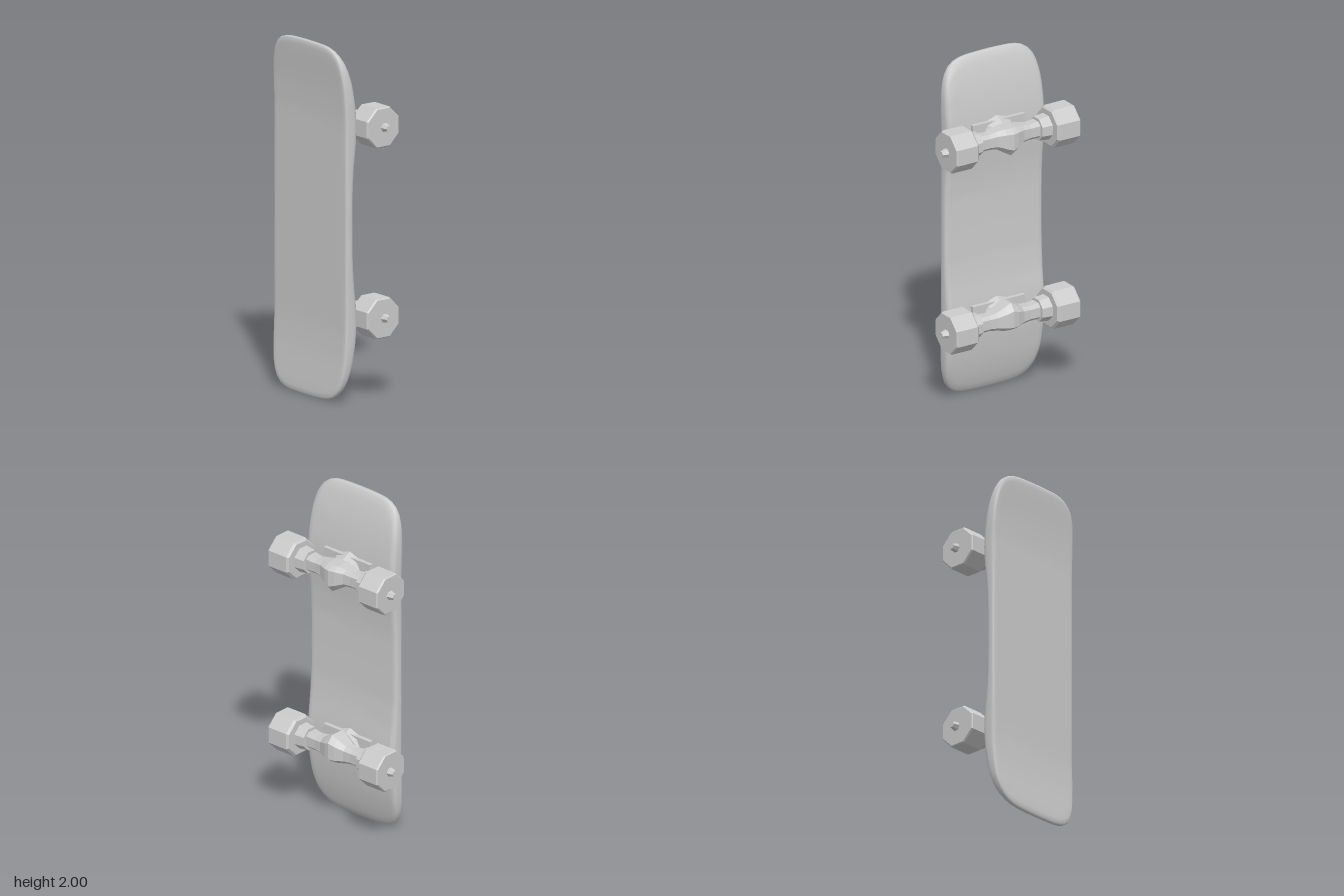
import * as THREE from 'three';

const smooth = new THREE.MeshStandardMaterial({ color: 0xcccccc });
const faceted = new THREE.MeshStandardMaterial({ color: 0xcccccc, flatShading: true });

function add(parent, name, geometry, material) {
  const mesh = new THREE.Mesh(geometry, material);
  mesh.name = name;
  parent.add(mesh);
  return mesh;
}

// Skin a list of closed rings, each an array of Vector3 of equal length
function skin(rings) {
  const n = rings[0].length, index = [];
  for (let i = 0; i < rings.length - 1; i++) {
    for (let j = 0; j < n; j++) {
      const k = (j + 1) % n;
      const a = i * n + j, b = a + n, c = (i + 1) * n + k, d = i * n + k;
      index.push(a, b, c, a, c, d);
    }
  }
  const geometry = new THREE.BufferGeometry().setFromPoints(rings.flat());
  geometry.setIndex(index);
  geometry.computeVertexNormals();
  return geometry;
}

// Smooth interpolation through [distance from the middle, depth] pairs
function profile(pairs) {
  return (y) => {
    const v = Math.min(Math.abs(y), pairs.at(-1)[0]);
    let i = 0;
    while (i < pairs.length - 2 && v > pairs[i + 1][0]) i++;
    const [y0, z0] = pairs[i], [y1, z1] = pairs[i + 1];
    return THREE.MathUtils.lerp(z0, z1, (v - y0) / (y1 - y0));
  };
}

// Deck: rounded outline with the ends kicked forward and a swell over each truck
function makeDeck() {
  const s = new THREE.Shape();
  s.moveTo(0.318, -0.68);
  s.lineTo(0.318, 0.68);
  s.bezierCurveTo(0.312, 0.9, 0.29, 0.985, 0.14, 0.996);
  s.quadraticCurveTo(0, 1.004, -0.14, 0.996);
  s.bezierCurveTo(-0.29, 0.985, -0.312, 0.9, -0.318, 0.68);
  s.lineTo(-0.318, -0.68);
  s.bezierCurveTo(-0.312, -0.9, -0.29, -0.985, -0.14, -0.996);
  s.quadraticCurveTo(0, -1.004, 0.14, -0.996);
  s.bezierCurveTo(0.29, -0.985, 0.312, -0.9, 0.318, -0.68);
  const outline = s.getSpacedPoints(120).slice(0, -1);

  const front = profile([[0, 0.136], [0.6, 0.137], [0.75, 0.145], [0.88, 0.158], [0.96, 0.167], [1, 0.168]]);
  const back = profile([[0, 0.084], [0.2, 0.082], [0.33, 0.073], [0.45, 0.058], [0.55, 0.052],
    [0.66, 0.06], [0.8, 0.08], [0.9, 0.104], [0.96, 0.122], [1, 0.136]]);

  // Steps of [scale, blend from front to back], going round the rim
  const steps = [];
  const inner = 16;
  for (let i = 0; i <= inner; i++) steps.push([0.965 * i / inner, 0]);
  steps.push([0.99, 0.06], [1, 0.25], [1, 0.65], [0.985, 0.88]);
  for (let i = inner; i >= 0; i--) steps.push([0.95 * i / inner, 1]);

  return skin(steps.map(([k, t]) => outline.map((p) => {
    const y = p.y * k;
    return new THREE.Vector3(p.x * k, y + 1, THREE.MathUtils.lerp(front(y), back(y), t));
  })));
}

// Axle hanger: lofted along x, with a pointed hump toward the board's middle
function makeHanger() {
  // x, lower y, upper y, back z, front z
  const half = [[0, -0.06, 0.1, -0.12, 0.035], [0.035, -0.06, 0.08, -0.112, 0.03],
    [0.085, -0.052, 0.05, -0.09, 0.01], [0.13, -0.045, 0.045, -0.085, 0], [0.21, -0.048, 0.048, -0.085, 0.015]];
  const stations = [...half.slice(1).reverse().map(([x, ...r]) => [-x, ...r]), ...half];
  const rings = stations.map(([x, lo, hi, zb, zf]) => {
    const zm = (zb + zf) / 2, dz = (zf - zb) / 2;
    return [[hi, zm + dz * 0.55], [hi, zm - dz * 0.55], [hi * 0.6, zb], [lo * 0.6, zb],
      [lo, zm - dz * 0.55], [lo, zm + dz * 0.55], [lo * 0.6, zf], [hi * 0.6, zf]]
      .map(([y, z]) => new THREE.Vector3(x, y, z));
  });
  return skin(rings);
}

function makeTruck(name) {
  const truck = new THREE.Group();
  truck.name = name;
  add(truck, 'hanger', makeHanger(), faceted);

  // Base plate and tapered pedestal against the deck
  const plate = add(truck, 'basePlate', new THREE.BoxGeometry(0.34, 0.14, 0.05), faceted);
  plate.position.z = 0.058;
  const pedestal = add(truck, 'pedestal', new THREE.CylinderGeometry(0.12, 0.075, 0.07, 8), faceted);
  pedestal.rotation.x = Math.PI / 2;
  pedestal.scale.z = 0.75;
  pedestal.position.z = 0.025;

  // Eight-sided wheels with inner hubs and axle ends
  const points = [[0, 0.255], [0.108, 0.255], [0.121, 0.268], [0.121, 0.396], [0.114, 0.404], [0, 0.404]]
    .map(([r, h]) => new THREE.Vector2(r, h));
  for (const side of [1, -1]) {
    const unit = new THREE.Group();
    unit.name = side > 0 ? 'leftWheel' : 'rightWheel';
    unit.rotation.z = -side * Math.PI / 2;
    unit.position.z = -0.055;
    add(unit, 'tyre', new THREE.LatheGeometry(points, 8, Math.PI / 8), faceted);
    const collar = add(unit, 'collar', new THREE.CylinderGeometry(0.075, 0.068, 0.065, 8), faceted);
    collar.rotation.y = Math.PI / 8;
    collar.position.set(0, 0.225, 0.012);
    const axle = add(unit, 'axleEnd', new THREE.CylinderGeometry(0.017, 0.028, 0.04, 6), faceted);
    axle.position.set(0, 0.42, -0.008);
    truck.add(unit);
  }
  return truck;
}

export function createModel() {
  const model = new THREE.Group();
  model.name = 'skateboard';
  add(model, 'deck', makeDeck(), smooth);

  const lower = makeTruck('lowerTruck');
  lower.position.y = 0.475;
  const upper = makeTruck('upperTruck');
  upper.position.y = 1.55;
  upper.rotation.z = Math.PI;
  model.add(lower, upper);
  return model;
}
